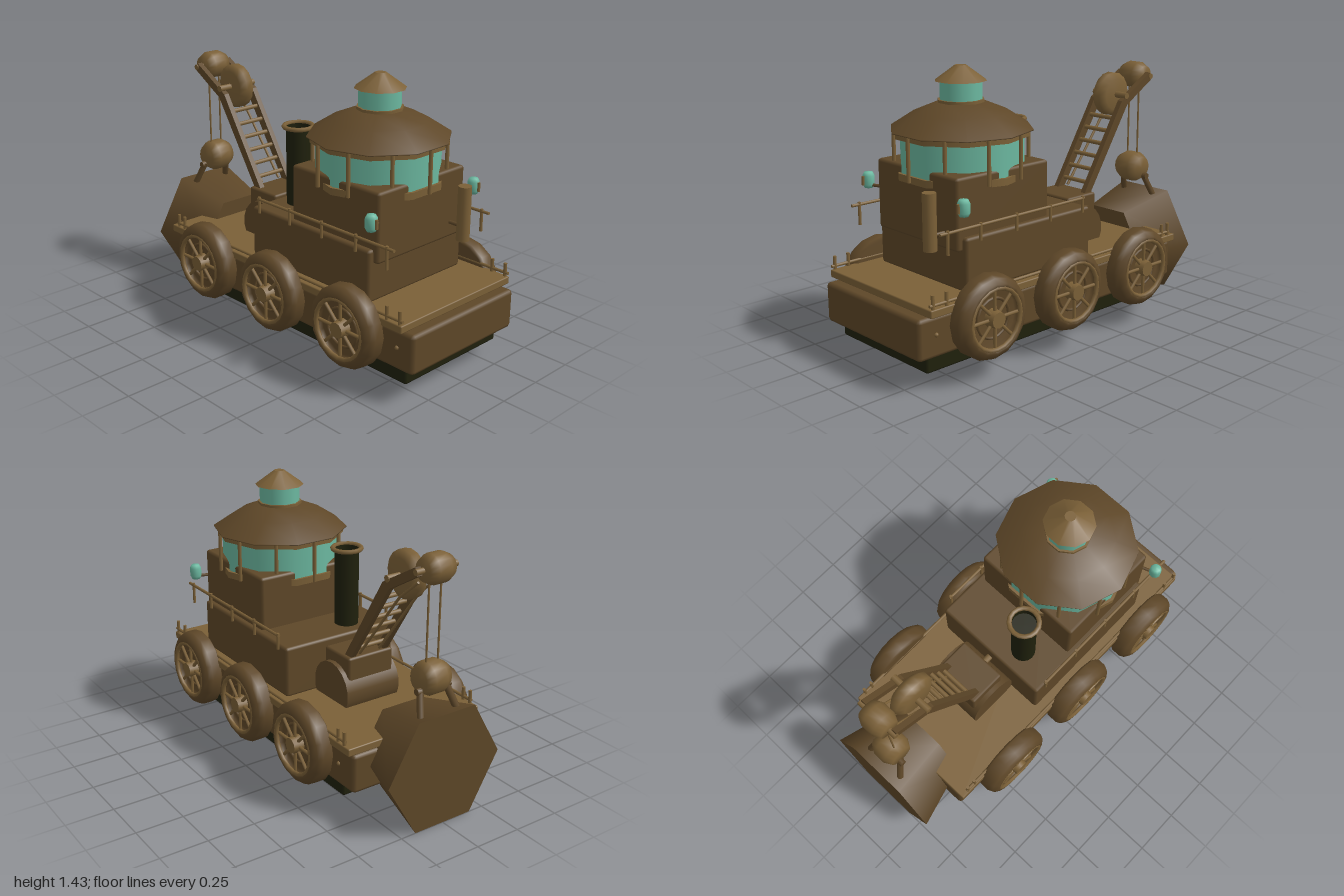
import * as THREE from 'three';
import { RoundedBoxGeometry } from 'three/addons/geometries/RoundedBoxGeometry.js';

export function createModel() {
  const root = new THREE.Group();
  root.name = 'craneLocomotive';
  const material = (name, color, side = THREE.FrontSide) => {
    const m = new THREE.MeshStandardMaterial({ color, side });
    m.name = name;
    return m;
  };
  const body = material('brown', 0x5e4728);
  const trim = material('lightBrown', 0x7b6037);
  const dark = material('blackGreen', 0x1f200c, THREE.DoubleSide);
  const glass = material('tealGlass', 0x6cb8a0);

  const add = (name, geo, mat, x = 0, y = 0, z = 0, parent = root) => {
    const m = new THREE.Mesh(geo, mat);
    m.name = name;
    m.position.set(x, y, z);
    parent.add(m);
    return m;
  };
  // Bevelled box given by its limits, symmetric in z
  const block = (name, mat, x0, x1, y0, y1, halfZ, bevel = 0.012) =>
    add(name, new RoundedBoxGeometry(x1 - x0, y1 - y0, halfZ * 2, 1, bevel), mat, (x0 + x1) / 2, (y0 + y1) / 2, 0);
  // Round bar between two points
  const rod = (name, mat, a, b, r, parent = root, sides = 8) => {
    const p = new THREE.Vector3(...a), q = new THREE.Vector3(...b), d = q.clone().sub(p);
    const m = add(name, new THREE.CylinderGeometry(r, r, d.length(), sides), mat, 0, 0, 0, parent);
    m.position.copy(p).add(q).multiplyScalar(0.5);
    m.quaternion.setFromUnitVectors(new THREE.Vector3(0, 1, 0), d.normalize());
    return m;
  };
  const lathe = (pts, seg) => new THREE.LatheGeometry(pts.map(p => new THREE.Vector2(...p)), seg);

  // Hull, deck and housings
  block('underframe', dark, -0.65, 0.93, 0.09, 0.22, 0.335);
  block('hull', body, -0.78, 1, 0.175, 0.38, 0.37, 0.02);
  block('deck', trim, -0.78, 0.95, 0.385, 0.425, 0.4, 0.006);
  block('engineHousing', body, -0.155, 0.68, 0.42, 0.69, 0.335, 0.015);
  block('cab', body, 0.12, 0.71, 0.62, 0.975, 0.305, 0.015);

  // Wheels
  const tyre = lathe([[0, 0], [0.195, 0], [0.21, 0.012], [0.21, 0.065], [0.198, 0.09], [0.172, 0.108],
    [0.155, 0.108], [0.148, 0.095], [0.145, 0.065], [0, 0.065]], 16).rotateX(Math.PI / 2);
  const hub = new THREE.CylinderGeometry(0.04, 0.048, 0.06, 12).rotateX(Math.PI / 2);
  for (const s of [1, -1]) for (const x of [-0.435, 0.095, 0.63]) {
    const wheel = new THREE.Group();
    wheel.name = 'wheel';
    wheel.position.set(x, 0.323, s * 0.382);
    wheel.rotation.y = s > 0 ? 0 : Math.PI;
    root.add(wheel);
    add('tyre', tyre, body, 0, 0, 0, wheel);
    add('hub', hub, trim, 0, 0, 0.088, wheel);
    add('rim', new THREE.TorusGeometry(0.152, 0.012, 6, 20), trim, 0, 0, 0.1, wheel);
    add('innerRing', new THREE.TorusGeometry(0.098, 0.008, 6, 20), body, 0, 0, 0.075, wheel);
    for (let i = 0; i < 8; i++) {
      const a = i * Math.PI / 4;
      rod('spoke', trim, [0, 0, 0.088], [0.152 * Math.cos(a), 0.152 * Math.sin(a), 0.088], 0.009, wheel, 6);
    }
    rod('axle', body, [0, 0, -0.06], [0, 0, 0.01], 0.04, wheel);
  }

  // Ten-sided lookout with its roof and top lantern
  const cx = 0.418;
  add('lookoutSill', new THREE.CylinderGeometry(0.33, 0.33, 0.035, 10), trim, cx, 0.917, 0);
  add('lookoutGlass', new THREE.CylinderGeometry(0.315, 0.315, 0.19, 10), glass, cx, 1.02, 0);
  add('lookoutHeader', new THREE.CylinderGeometry(0.342, 0.342, 0.03, 10), trim, cx, 1.118, 0);
  for (let i = 0; i < 10; i++) {
    const a = i * Math.PI / 5, x = cx + 0.332 * Math.cos(a), z = 0.332 * Math.sin(a);
    rod('lookoutPost', trim, [x, 0.91, z], [x, 1.13, z], 0.01);
  }
  add('lookoutRoof', lathe([[0, 1.13], [0.36, 1.13], [0.36, 1.135], [0.24, 1.212], [0.12, 1.262], [0, 1.265]], 10), body, cx);
  add('lanternCollar', new THREE.CylinderGeometry(0.118, 0.118, 0.016, 10), trim, cx, 1.268, 0);
  add('lanternGlass', new THREE.CylinderGeometry(0.107, 0.107, 0.1, 10), glass, cx, 1.318, 0);
  add('lanternRoof', new THREE.CylinderGeometry(0.028, 0.13, 0.075, 10), trim, cx, 1.403, 0);

  // Chimney
  add('chimney', new THREE.CylinderGeometry(0.064, 0.064, 0.42, 16, 1, true), dark, -0.028, 0.895, 0.125);
  add('chimneyInside', new THREE.CircleGeometry(0.064, 16).rotateX(-Math.PI / 2), dark, -0.028, 1.06, 0.125);
  const lip = add('chimneyLip', new THREE.TorusGeometry(0.075, 0.013, 6, 16).rotateX(Math.PI / 2), trim, -0.028, 1.103, 0.125);
  lip.scale.y = 0.9;

  // Exhaust pipe behind the cab
  add('exhaustPipe', new THREE.CylinderGeometry(0.034, 0.034, 0.28, 12), trim, 0.795, 0.77, -0.208);
  rod('exhaustBracket', body, [0.7, 0.7, -0.208], [0.79, 0.7, -0.208], 0.01);

  for (const s of [1, -1]) {
    // Side lamps
    add('sideLamp', lathe([[0, -0.042], [0.022, -0.04], [0.031, -0.022], [0.031, 0.022], [0.022, 0.04], [0, 0.042]], 10), glass, 0.722, 0.855, s * 0.367);
    rod('lampHandle', trim, [0.755, 0.832, s * 0.367], [0.755, 0.878, s * 0.367], 0.008);
    rod('lampBracket', body, [0.7, 0.83, s * 0.3], [0.722, 0.83, s * 0.36], 0.008);
    // Housing handrail
    rod('handrail', trim, [-0.1, 0.745, s * 0.343], [0.845, 0.745, s * 0.343], 0.008);
    for (const x of [-0.09, 0.14, 0.37, 0.6, 0.8])
      rod('handrailPost', trim, [x, x > 0.7 ? 0.64 : 0.67, s * 0.343], [x, 0.757, s * 0.343], 0.008);
    // Deck edge pipe and its posts
    rod('deckPipe', trim, [-0.74, 0.443, s * 0.388], [0.95, 0.443, s * 0.388], 0.008);
    for (const x of [-0.73, -0.68, 0.85, 0.93])
      rod('deckPost', trim, [x, 0.42, s * 0.388], [x, 0.493, s * 0.388], 0.009);
    // Hull rivets
    for (const x of [-0.66, -0.18, 0.36, 0.9])
      add('rivet', new THREE.SphereGeometry(0.011, 8, 6), trim, x, 0.29, s * 0.37);
  }

  // Crane base and winch drum
  block('craneBase', body, -0.415, -0.205, 0.42, 0.68, 0.135);
  add('winchDrum', new THREE.CylinderGeometry(0.145, 0.145, 0.32, 18).rotateX(Math.PI / 2), body, -0.295, 0.482, 0);
  rod('winchAxle', trim, [-0.21, 0.6, 0], [-0.15, 0.6, 0], 0.018);

  // Boom: two bent side beams, rungs and stays
  const beamShape = new THREE.Shape([[-0.345, 0.67], [-0.64, 1.15], [-0.87, 1.285], [-0.885, 1.245], [-0.685, 1.125], [-0.395, 0.67]]
    .map(p => new THREE.Vector2(...p)));
  for (const s of [1, -1]) {
    add('boomBeam', new THREE.ExtrudeGeometry(beamShape, { depth: 0.03, bevelEnabled: false }), body, 0, 0, s * 0.1 - 0.015);
    rod('boomStay', trim, [-0.4, 0.69, s * 0.06], [-0.7, 1.08, s * 0.06], 0.007);
    rod('boomStrut', trim, [-0.7, 1.08, s * 0.06], [-0.83, 1.19, s * 0.06], 0.007);
  }
  for (let i = 0; i < 6; i++) {
    const t = 0.12 + i * 0.14, x = -0.37 - 0.29 * t, y = 0.67 + 0.47 * t;
    rod('boomRung', trim, [x, y, -0.1], [x, y, 0.1], 0.012);
  }

  // Pulleys, cable and hook block
  const pulley = (name, r, half, x, y) => add(name, lathe([[0, -half], [r * 0.72, -half], [r, -half * 0.45],
    [r, half * 0.45], [r * 0.72, half], [0, half]], 16).rotateX(Math.PI / 2), trim, x, y, 0);
  pulley('boomPulley', 0.12, 0.045, -0.675, 1.175);
  pulley('tipPulley', 0.074, 0.075, -0.877, 1.263);
  pulley('hookBlock', 0.085, 0.075, -0.873, 0.73);
  rod('pulleyAxle', trim, [-0.675, 1.175, -0.12], [-0.675, 1.175, 0.12], 0.018);
  rod('tipAxle', trim, [-0.877, 1.263, -0.12], [-0.877, 1.263, 0.12], 0.016);
  rod('hookAxle', body, [-0.89, 0.68, -0.1], [-0.89, 0.68, 0.1], 0.018);
  for (const s of [1, -1]) {
    rod('cable', trim, [-0.875, 0.78, s * 0.035], [-0.875, 1.25, s * 0.035], 0.005);
    rod('bucketArm', body, [-0.885, 0.69, s * 0.075], [-0.94, 0.56, s * 0.11], 0.018);
  }

  // Six-sided bucket, wide end outwards
  const bucket = new THREE.CylinderGeometry(0.243, 0.335, 0.33, 6);
  bucket.rotateZ(-Math.PI / 2);
  add('bucket', bucket, body, -0.835, 0.298, 0);

  return root;
}
